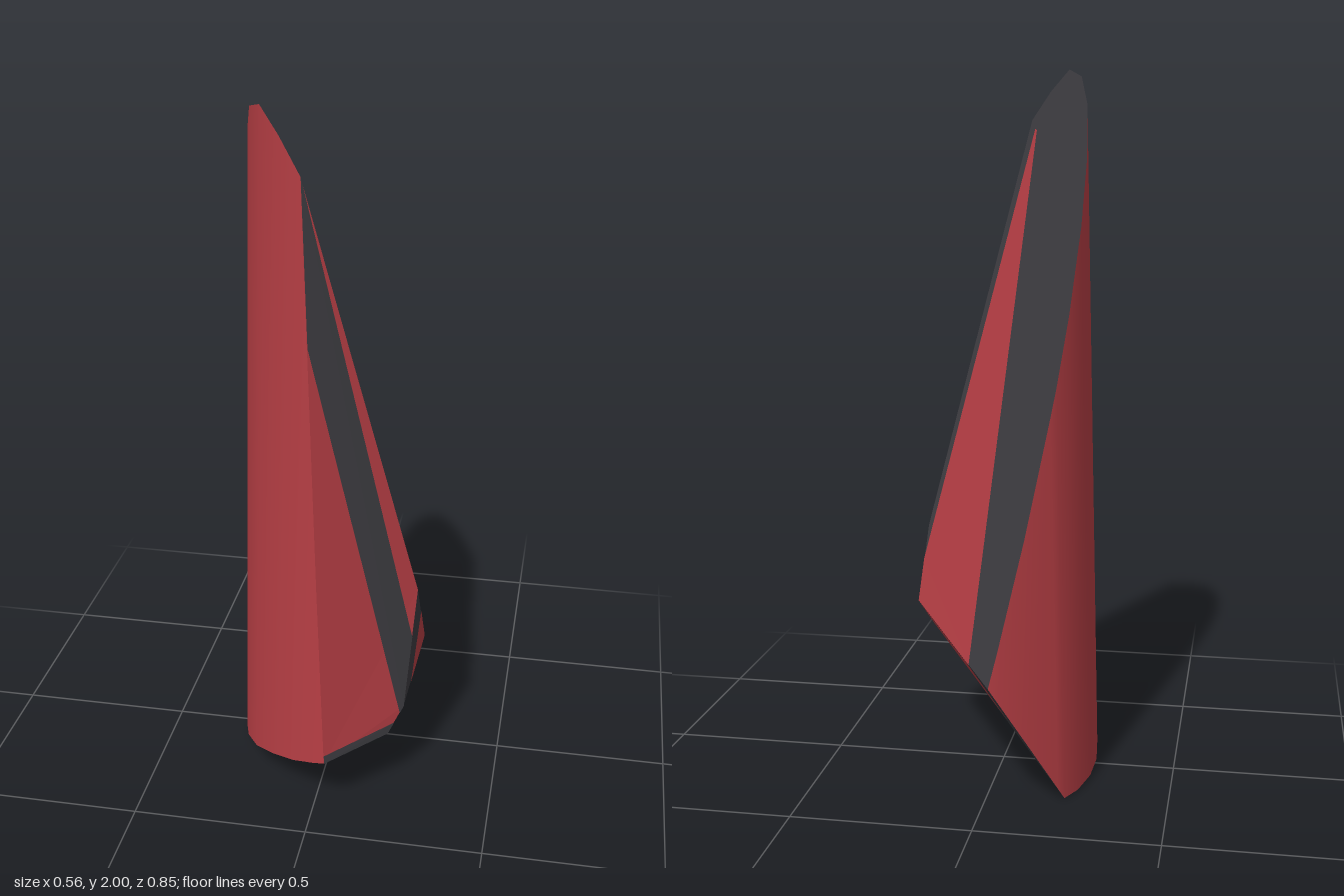
import * as THREE from 'three';

const V = (x, y, z) => new THREE.Vector3(x, y, z);

export function createModel() {
  const model = new THREE.Group();
  const red = new THREE.MeshStandardMaterial({ color: 0xb83f45 });
  red.name = 'brick red';
  const dark = new THREE.MeshStandardMaterial({ color: 0x3e3d42 });
  dark.name = 'charcoal';

  // Corners where the flat cuts meet
  const A = V(-0.02, 1.86, 0.375), B = V(-0.03, 0.37, -0.425);
  const C = V(0.2, 0.215, 0.285), D = V(0.04, 0.19, 0.425);
  const E = V(0.24, 0.29, 0.25), F = V(0.267, 0.65, 0.2);
  const G = V(0.277, 0.44, 0.1), H = V(-0.215, 0.005, -0.26);

  // Cutting planes, all facing outwards
  const inside = V(-0.05, 0.5, 0);
  const cut = (a, b, c) => {
    const p = new THREE.Plane().setFromCoplanarPoints(a, b, c);
    return p.distanceToPoint(inside) > 0 ? p.negate() : p;
  };
  const slope = cut(A, B, G), front = cut(A, D, F);
  const bottom = cut(D, C, H), chamfer = cut(C, H, B), corner = cut(E, F, G);

  // Point on a plane from its height and depth
  const at = (p, y, z) => V(-(p.normal.y * y + p.normal.z * z + p.constant) / p.normal.x, y, z);
  const mix = (a, b, t) => a.clone().lerp(b, t);

  // Convex flat face; painted patches are lifted slightly off their face
  function face(name, plane, pts, material, lift = 0) {
    const turn = V(0, 0, 0);
    pts.forEach((p, i) => turn.add(p.clone().cross(pts[(i + 1) % pts.length])));
    const ring = turn.dot(plane.normal) < 0 ? [...pts].reverse() : pts;
    const tris = [];
    for (let i = 1; i < ring.length - 1; i++) tris.push(ring[0], ring[i], ring[i + 1]);
    const geo = new THREE.BufferGeometry().setFromPoints(
      tris.map((p) => p.clone().addScaledVector(plane.normal, lift)));
    geo.computeVertexNormals();
    const mesh = new THREE.Mesh(geo, material);
    mesh.name = name;
    model.add(mesh);
  }

  // Curved back: leaning straight lines trimmed by the planes
  const outline = [
    [0, 0.41], [-0.064, 0.375], [-0.135, 0.315], [-0.2, 0.245], [-0.245, 0.16],
    [-0.27, 0.075], [-0.278, -0.02], [-0.27, -0.11], [-0.245, -0.2], [-0.215, -0.26],
    [-0.2, -0.28], [-0.135, -0.355], [-0.065, -0.41],
  ];
  const lean = V(0.026, 1, 0);
  const hit = (plane, o) => -plane.distanceToPoint(o) / plane.normal.dot(lean);
  const low = [D], high = [D];
  for (const [x, z] of outline) {
    const o = V(x, 0, z);
    const y0 = Math.max(hit(bottom, o), hit(chamfer, o));
    const y1 = Math.min(hit(slope, o), hit(front, o) > 0 && z > 0.4 ? hit(front, o) : 9);
    low.push(o.clone().addScaledVector(lean, y0));
    high.push(o.clone().addScaledVector(lean, y1));
  }
  high[2] = A;
  low[10] = H;
  low.push(B);
  high.push(B);
  const n = low.length, index = [];
  for (let i = 0; i < n - 1; i++) {
    if (i > 0) index.push(i, n + i, i + 1);
    if (i < n - 2) index.push(i + 1, i > 0 ? n + i : i, n + i + 1);
  }
  const shell = new THREE.BufferGeometry().setFromPoints([...low, ...high]);
  shell.setIndex(index);
  shell.computeVertexNormals();
  const back = new THREE.Mesh(shell, red);
  back.name = 'curvedBack';
  model.add(back);

  // Flat cut faces
  face('slopeFace', slope, [...high.slice(2), G, F], dark);
  face('frontFace', front, [D, C, E, F, A, high[1]], red);
  face('cornerFace', corner, [E, F, G], dark);
  face('chamferFace', chamfer, [C, E, G, ...low.slice(10).reverse()], dark);
  face('bottomFace', bottom, [C, ...low.slice(0, 11)], red);

  // Painted patches
  const lift = 0.0015;
  const onFG = mix(F, G, 0.45), onEG = mix(E, G, 0.333), onGB = mix(G, B, 0.752);
  face('slopePatch', slope, [at(slope, 1.835, 0.335), at(slope, 1.83, 0.322), onGB, G, onFG], red, lift);
  face('cornerPatch', corner, [G, onFG, onEG], red, lift);
  face('chamferPatch', chamfer, [G, onGB, at(chamfer, 0.19, -0.19), onEG], red, lift);
  face('frontStripe', front,
    [A, mix(A, D, 0.26), mix(C, E, 0.75), E, mix(E, F, 0.6)], dark, lift);
  face('frontHem', front, [D, C, mix(C, E, 0.4), mix(D, A, 0.015)], dark, lift);
  face('bottomPatch', bottom, [mix(C, H, 0.68), low[8], low[9], H], dark, lift);

  return model;
}
